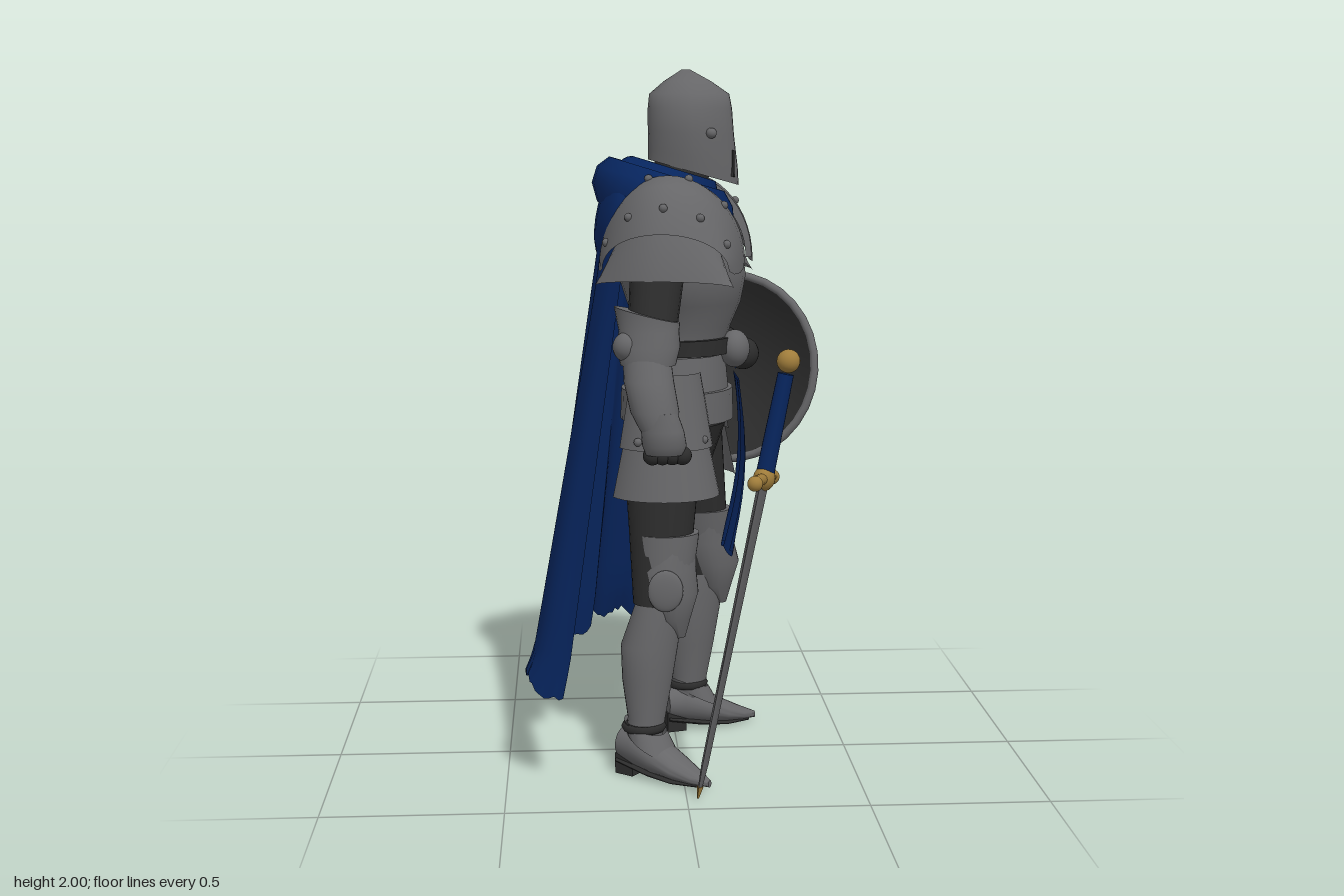
import * as THREE from 'three';
import { toCreasedNormals } from 'three/addons/utils/BufferGeometryUtils.js';

const V = (x, y, z) => new THREE.Vector3(x, y, z);
const paint = (name, color) => {
  const m = new THREE.MeshStandardMaterial({ color, side: THREE.DoubleSide });
  m.name = name;
  return m;
};

// Surface from a grid of points; wrap closes each row, caps close both ends.
function skin(rows, wrap, caps) {
  const n = rows[0].length, pos = rows.flat().flatMap(p => [p.x, p.y, p.z]), idx = [];
  for (let i = 0; i < rows.length - 1; i++)
    for (let j = 0; j < (wrap ? n : n - 1); j++) {
      const k = (j + 1) % n, a = i * n + j, b = i * n + k;
      idx.push(a, a + n, b, b, a + n, b + n);
    }
  if (caps) [0, rows.length - 1].forEach((r, end) => {
    const c = rows[r].reduce((s, p) => s.add(p), V(0, 0, 0)).divideScalar(n), ci = pos.length / 3;
    pos.push(c.x, c.y, c.z);
    for (let j = 0; j < n; j++) {
      const a = r * n + j, b = r * n + (j + 1) % n;
      idx.push(...(end ? [a, ci, b] : [a, b, ci]));
    }
  });
  const g = new THREE.BufferGeometry();
  g.setAttribute('position', new THREE.Float32BufferAttribute(pos, 3));
  g.setIndex(idx);
  return toCreasedNormals(g, 0.8);
}

// Elliptical sections, bottom to top: [y, cx, cz, rx, rz, tilt]; pinch sharpens the front.
function loft(secs, { n = 28, pinch = 0, caps = true } = {}) {
  return skin(secs.map(([y, cx, cz, rx, rz, tilt = 0]) => Array.from({ length: n }, (_, j) => {
    const a = j / n * Math.PI * 2, c = Math.cos(a);
    return V(cx + rx * c, y + tilt * rx * c, cz + rz * Math.sin(a) * (1 - pinch * Math.max(0, c)));
  })), true, caps);
}

function add(parent, name, geo, mat, pos = [0, 0, 0], rot = [0, 0, 0], scale = [1, 1, 1]) {
  const m = new THREE.Mesh(geo, mat);
  m.name = name;
  m.position.set(...pos);
  m.rotation.set(...rot);
  m.scale.set(...scale);
  parent.add(m);
  return m;
}

function group(parent, name, pos = [0, 0, 0], rotY = 0) {
  const g = new THREE.Group();
  g.name = name;
  g.position.set(...pos);
  g.rotation.y = rotY;
  parent.add(g);
  return g;
}

const ball = (r = 1) => new THREE.SphereGeometry(r, 20, 14);
const rivet = new THREE.SphereGeometry(0.012, 8, 6);

// Round bar between two points
function rod(parent, name, a, b, ra, rb, mat) {
  const p = V(...a), q = V(...b), d = q.clone().sub(p);
  const m = add(parent, name, new THREE.CylinderGeometry(rb, ra, d.length(), 18), mat);
  m.position.copy(p).add(q).multiplyScalar(0.5);
  m.quaternion.setFromUnitVectors(V(0, 1, 0), d.normalize());
  return m;
}

// Point on an arched shoulder row [z, rx, base y, height, bend]; it sweeps inward more at the back
const archPoint = ([z, rx, y, h, bend], a, s) =>
  V(rx * Math.sin(a), y + h * Math.cos(a), s * (z - bend * Math.sin(a) ** 2 * (a > 0 ? .4 : 1)));
const arch = (rows, s) => skin(rows.map(r => Array.from({ length: 25 }, (_, j) =>
  archPoint(r, (j / 24 - .5) * Math.PI, s))), false, false);

export function createModel() {
  const steel = paint('steel', 0x666668), dark = paint('darkMail', 0x2c2c2c);
  const blue = paint('blueCloth', 0x07255e), gold = paint('gold', 0xa07d3b);
  const root = new THREE.Group();
  root.name = 'knight';

  // Helmet with ridged face and roof, slits and bolts
  const helm = group(root, 'helmet');
  add(helm, 'helmetShell', loft([[1.71, .045, -.01, .13, .086, -.28], [1.75, .044, -.01, .128, .09, -.2],
    [1.82, .038, -.01, .123, .094, -.05], [1.89, .035, -.01, .12, .09], [1.93, .033, -.01, .114, .07],
    [1.965, .028, -.01, .068, .04], [1.998, .023, -.01, .012, .006]], { pinch: .25 }), steel);
  for (const s of [1, -1]) {
    add(helm, 'faceSlit', new THREE.BoxGeometry(.008, .075, .012), dark, [.155, 1.735, -.01 + s * .031], [-s * .15, -s * .5, 0]);
    add(helm, 'helmetBolt', ball(.015), steel, [.09, 1.82, -.01 + s * .08]);
  }
  add(root, 'neck', loft([[1.58, -.02, -.02, .09, .1], [1.76, .02, -.01, .08, .075]]), dark);

  // Cowl with rolled folds
  add(root, 'cowl', loft([[1.57, -.04, -.03, .19, .21, -.3], [1.62, -.04, -.03, .205, .22, -.3], [1.67, -.035, -.03, .195, .2, -.3],
    [1.705, -.03, -.025, .165, .165, -.3], [1.70, -.025, -.02, .14, .135, -.3], [1.72, -.01, -.02, .12, .115, -.3],
    [1.68, 0, -.015, .09, .085, -.3]], { caps: false }), blue);
  add(root, 'hoodDrape', ball(), blue, [-.165, 1.6, -.03], [0, 0, -.25], [.065, .16, .19]);

  // Cape: broad folds growing toward a torn hem
  const curve = pts => new THREE.CatmullRomCurve3(pts.map(([x, z]) => V(x, 0, z)));
  const top = curve([[.0, -.22], [-.1, -.22], [-.18, -.14], [-.21, -.03], [-.2, .08], [-.14, .18]]);
  const hem = curve([[-.04, -.5], [-.16, -.475], [-.26, -.345], [-.32, -.25], [-.345, -.16], [-.37, -.06],
    [-.385, .04], [-.405, .2], [-.345, .375]]);
  const rows = [];
  for (let i = 0; i <= 18; i++) {
    const v = i / 18, row = [];
    for (let j = 0; j <= 96; j++) {
      const u = j / 96, p = top.getPoint(u).lerp(hem.getPoint(u), v);
      const torn = .05 * Math.abs(Math.sin(u * 23)) * (.5 + ((j * 7) % 5) / 9) + .045 * Math.sin(u * 9);
      const fold = v * (.045 * Math.abs(Math.sin(u * Math.PI * 4)) - .006 * Math.cos(u * Math.PI * 16));
      p.x -= fold;
      p.z -= fold * (.75 - u);
      p.y = 1.63 + (.23 - 1.63) * v + torn * Math.max(0, v - .9) * 10;
      row.push(p);
    }
    rows.push(row);
  }
  add(root, 'cape', skin(rows, false, false), blue);

  // Torso, slightly turned toward the sword side
  const torso = group(root, 'torso', [0, 0, -.04], -.17);
  add(torso, 'breastplate', loft([[1.2, .01, 0, .13, .165], [1.27, .02, 0, .135, .17], [1.34, .02, 0, .165, .21],
    [1.42, .015, 0, .185, .245], [1.5, 0, 0, .18, .245], [1.57, -.03, 0, .155, .2], [1.65, -.05, 0, .1, .12]], { pinch: .1 }), steel);
  const lip = new THREE.CatmullRomCurve3([V(.07, 1.61, .17), V(.125, 1.56, .12), V(.148, 1.545, 0), V(.125, 1.56, -.12), V(.07, 1.61, -.17)]);
  add(torso, 'collarLip', new THREE.TubeGeometry(lip, 24, .017, 8), steel);
  rod(torso, 'chestRidge', [.165, 1.54, 0], [.192, 1.43, 0], .012, .006, steel);
  add(torso, 'belt', loft([[1.195, .01, 0, .152, .187], [1.24, .01, 0, .152, .187]]), dark);
  add(torso, 'buckle', ball(.055), steel, [.17, 1.205, .02], [0, 0, 0], [.8, 1, 1]);
  add(torso, 'faulds', loft([[1.0, 0, 0, .165, .2], [1.09, 0, 0, .162, .2], [1.091, 0, 0, .15, .185], [1.19, 0, 0, .14, .17]]), steel);

  // Shoulder armour: arched riveted plate over a flared lower plate
  const upperRows = [[.155, .19, 1.46, .2, .09], [.165, .207, 1.46, .24, .1], [.215, .207, 1.45, .255, .11], [.28, .202, 1.44, .24, .11],
    [.335, .19, 1.44, .18, .11], [.365, .178, 1.45, .1, .1]];
  const lowerRows = [[.33, .165, 1.44, .15, .1], [.37, .182, 1.42, .09, .1], [.388, .195, 1.405, .02, .1]];
  for (const s of [1, -1]) {
    const p = group(torso, 'pauldron');
    add(p, 'shoulderPlate', arch(upperRows, s), steel);
    add(p, 'shoulderFlare', arch(lowerRows, s), steel);
    for (const [row, count] of [[upperRows[2], 4], [upperRows[4], 5]])
      for (let i = 0; i < count; i++)
        add(p, 'shoulderRivet', rivet, steel, archPoint(row, (i - (count - 1) / 2) * .55, s).toArray());
  }

  // Sword-side arm and fist
  const armR = group(root, 'rightArm');
  rod(armR, 'upperArm', [-.06, 1.55, .21], [-.09, 1.27, .315], .08, .066, dark);
  add(armR, 'elbowPlate', loft([[1.2, -.1, .335, .075, .06], [1.25, -.1, .325, .088, .068], [1.29, -.097, .315, .082, .066], [1.335, -.102, .308, .09, .072, -.25]]), steel);
  add(armR, 'elbowCop', ball(.042), steel, [-.155, 1.25, .34]);
  add(armR, 'vambrace', loft([[1.03, -.075, .4, .05, .045], [1.08, -.085, .39, .066, .056], [1.16, -.1, .36, .068, .057], [1.24, -.105, .33, .064, .055]]), steel);
  add(armR, 'gauntlet', loft([[.965, -.06, .4, .05, .038], [.99, -.06, .405, .06, .048], [1.03, -.065, .405, .058, .045], [1.08, -.075, .4, .05, .045]]), steel);
  for (let i = 0; i < 4; i++) add(armR, 'finger', ball(.026), dark, [-.092 + i * .027, .96, .39]);

  // Shield-side arm
  const armL = group(root, 'leftArm');
  rod(armL, 'upperArm', [.05, 1.55, -.28], [.03, 1.26, -.355], .08, .068, dark);
  add(armL, 'elbowCop', ball(), steel, [-.005, 1.235, -.365], [0, 0, 0], [.06, .07, .06]);
  rod(armL, 'forearm', [.03, 1.25, -.36], [.2, 1.16, -.32], .068, .05, dark);
  rod(armL, 'vambrace', [.06, 1.235, -.35], [.13, 1.195, -.335], .07, .064, steel);
  add(armL, 'fist', ball(.05), dark, [.22, 1.15, -.33]);

  // Round domed shield; local +z is its outer face
  const shield = group(root, 'shield', [.175, 1.1, -.395]);
  shield.lookAt(V(.175 + .41, 1.1 - .16, -.395 - .88));
  const dome = (r0, r1, lift) => {
    const g = new THREE.LatheGeometry(Array.from({ length: 9 }, (_, i) => {
      const r = r0 + (r1 - r0) * i / 8;
      return new THREE.Vector2(r, lift + .1 * (1 - (r / .29) ** 2));
    }), 32);
    return g.rotateX(Math.PI / 2);
  };
  add(shield, 'shieldFace', dome(.001, .255, 0), blue);
  add(shield, 'shieldBack', dome(.001, .28, -.014), dark);
  add(shield, 'shieldRim', dome(.243, .296, .009), steel);
  add(shield, 'shieldEdge', new THREE.TorusGeometry(.287, .013, 8, 32), steel);
  const star = [0, 1].map(k => Array.from({ length: 12 }, (_, i) => {
    const a = i / 12 * Math.PI * 2 + Math.PI / 2, r = i % 2 ? .068 : .13;
    return k ? V(0, 0, .145) : V(Math.cos(a) * r, Math.sin(a) * r, .112 - r * r * 1.2);
  }));
  add(shield, 'shieldStar', skin(star, true, false), gold);

  // Cloth hanging at the front
  const cloth = [];
  for (let i = 0; i <= 10; i++)
    cloth.push(Array.from({ length: 25 }, (_, j) => {
      const u = j / 24, v = i / 10;
      return V(.168 - .03 * v + .012 * Math.sin(u * 14) * v + .03 * Math.sin(v * 3),
        1.13 - .5 * v - (i === 10 ? .025 * Math.sin(u * 9) ** 2 : 0), .112 - u * .19);
    }));
  add(root, 'tabard', skin(cloth, false, false), blue);
  add(root, 'hips', loft([[.86, -.01, 0, .1, .14], [1.0, 0, 0, .14, .19]]), dark);

  // Legs: s is the side, then hip, knee and ankle as [x, z], foot yaw
  for (const [s, hip, knee, ankle, yaw] of [[1, [-.05, .12], [-.06, .185], [-.11, .215], -.65], [-1, [.02, -.13], [.09, -.19], [.04, -.2], .28]]) {
    const leg = group(root, s > 0 ? 'rightLeg' : 'leftLeg');
    const at = (y, rx, rz, dx = 0) => {
      const [a, b, t] = y > .53 ? [knee, hip, (y - .53) / .47] : [ankle, knee, (y - .1) / .43];
      return [y, a[0] + (b[0] - a[0]) * t + dx, a[1] + (b[1] - a[1]) * t, rx, rz];
    };
    add(leg, 'thigh', loft([at(.5, .075, .065), at(.7, .092, .078), at(.98, .115, .095)]), dark);
    add(leg, 'thighPlate', loft([at(.6, .085, .074, .01), at(.66, .094, .081, .01), at(.7, .098, .085, .01)]), steel);
    add(leg, 'kneePlate', loft([at(.4, .02, .02, .065), at(.46, .06, .062, .035), at(.53, .083, .08, .025), at(.6, .085, .083, .015), at(.66, .07, .078, .03)], { pinch: .2 }), steel);
    add(leg, 'kneeWing', ball(), steel, [knee[0] + .01, .55, knee[1] + s * .075], [0, 0, 0], [.05, .06, .014]);
    add(leg, 'greave', loft([at(.1, .052, .05), at(.17, .054, .052), at(.28, .072, .066, -.01), at(.38, .082, .073, -.015), at(.5, .068, .066)], { pinch: .15 }), steel);
    // Hip plates in two overlapping layers, wrapping the outside and part of the front
    const cz = hip[1] + s * .015, start = s > 0 ? -1.25 : 1.6;
    const tasset = (name, y, r0, r1, h) => add(leg, name, new THREE.CylinderGeometry(r0, r1, h, 14, 1, true, start, 2.8),
      steel, [hip[0] + .005, y, cz], [0, 0, 0], [1.12, 1, 1]);
    tasset('upperTasset', 1.05, .09, .122, .21);
    tasset('lowerTasset', .89, .108, .14, .17);
    for (const a of [-.6, .2, 1]) add(leg, 'tassetRivet', rivet, steel, [hip[0] + Math.sin(a) * .133, .97, cz + s * Math.cos(a) * .118]);
    // Pointed shoe, laid along its length, on a dark sole
    const foot = group(leg, 'foot', [ankle[0], 0, ankle[1]], yaw);
    add(foot, 'shoe', loft([[-.07, -.085, 0, .045, .045], [-.02, -.085, 0, .06, .056], [.05, -.065, 0, .052, .06],
      [.12, -.042, 0, .034, .052], [.18, -.026, 0, .02, .033], [.225, -.016, 0, .01, .008]]).rotateZ(-Math.PI / 2), steel);
    add(foot, 'sole', loft([[-.07, -.04, 0, .01, .045], [.04, -.02, 0, .012, .05], [.12, -.01, 0, .008, .046],
      [.2, -.007, 0, .006, .018]]).rotateZ(-Math.PI / 2), dark);
    add(foot, 'heel', new THREE.BoxGeometry(.06, .06, .075), dark, [-.045, .03, 0]);
    add(foot, 'ankleFlap', loft([[.1, .03, 0, .075, .066, -.5], [.15, .005, 0, .062, .058, -.3]], { caps: false }), steel);
    add(foot, 'ankleRing', new THREE.TorusGeometry(.053, .012, 6, 20), dark, [0, .145, 0], [Math.PI / 2, 0, 0]);
  }

  // Sword standing on its tip; local +y runs up to the pommel, local z along the guard
  const sword = group(root, 'sword', [.03, .005, .43]);
  const up = V(.245, 1.21, -.04).normalize(), side = up.clone().cross(V(-.33, 0, .94)).normalize();
  sword.quaternion.setFromRotationMatrix(new THREE.Matrix4().makeBasis(side, up, side.clone().cross(up)));
  add(sword, 'blade', loft([[.03, 0, 0, .006, .016], [.1, 0, 0, .01, .03], [.5, 0, 0, .012, .033], [.9, 0, 0, .015, .038]], { n: 4 }), steel);
  add(sword, 'bladeTip', loft([[0, 0, 0, .003, .005], [.034, 0, 0, .009, .018]], { n: 4 }), gold);
  rod(sword, 'guard', [0, .91, -.105], [0, .91, .105], .016, .016, gold);
  add(sword, 'guardBlock', ball(), gold, [0, .91, 0], [0, 0, 0], [.03, .035, .04]);
  for (const s of [1, -1]) add(sword, 'guardEnd', ball(.021), gold, [0, .905, s * .108]);
  rod(sword, 'grip', [0, .93, 0], [0, 1.2, 0], .025, .022, blue);
  add(sword, 'pommel', ball(.032), gold, [0, 1.235, 0]);
  return root;
}
